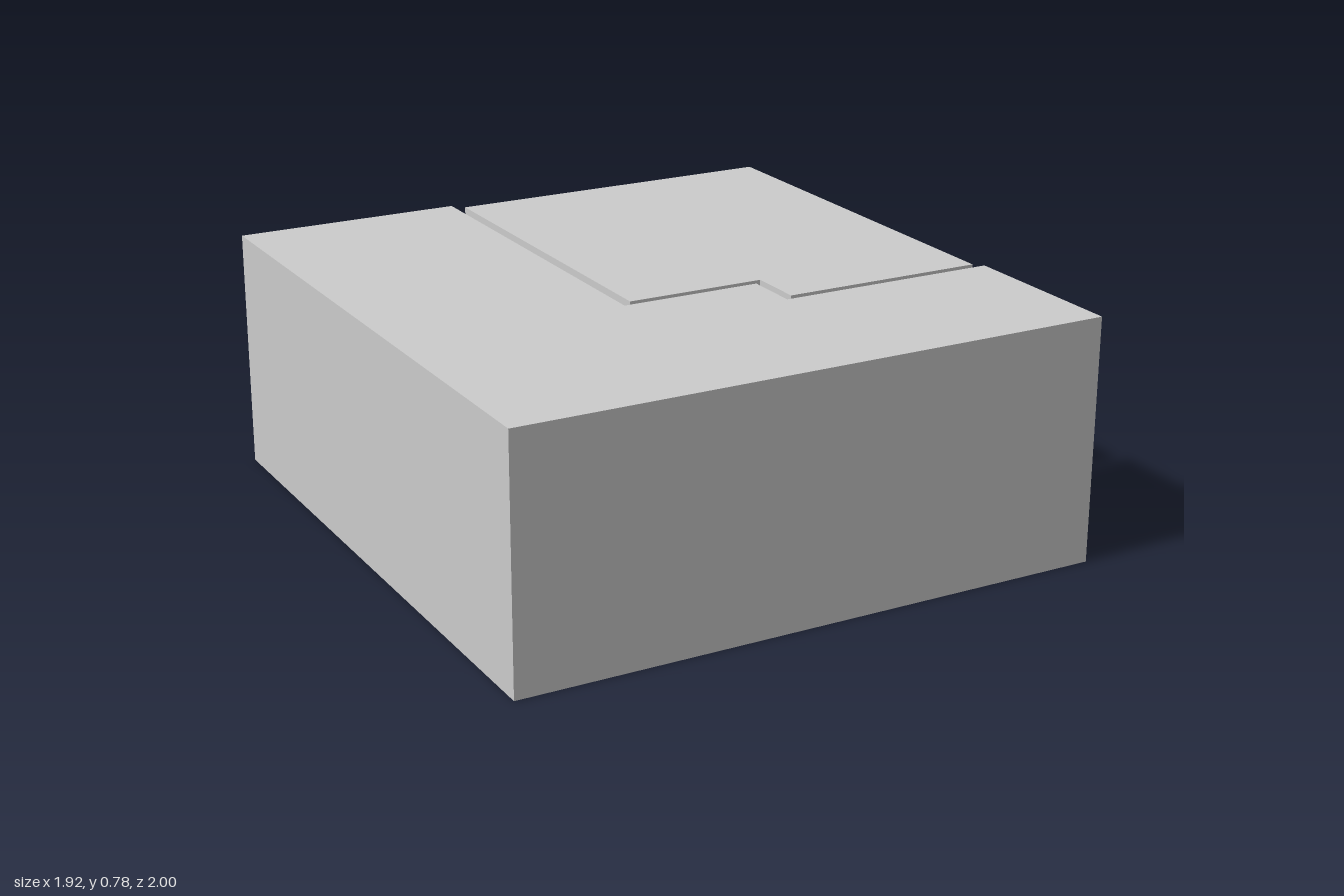
import * as THREE from 'three';

const material = new THREE.MeshStandardMaterial({ color: 0xcccccc, flatShading: true });

// Extrudes a plan outline of [x, z] points upward from y0 to y1.
function prism(name, plan, y0, y1) {
  const shape = new THREE.Shape(plan.map(([x, z]) => new THREE.Vector2(x, -z)));
  const geometry = new THREE.ExtrudeGeometry(shape, { depth: y1 - y0, bevelEnabled: false });
  geometry.rotateX(-Math.PI / 2).translate(0, y0, 0);
  const mesh = new THREE.Mesh(geometry, material);
  mesh.name = name;
  return mesh;
}

export function createModel() {
  const group = new THREE.Group();
  group.name = 'jointedBlocks';
  const height = 0.78;

  // L-shaped block with a stepped inner corner
  group.add(prism('outerBlock', [
    [-0.96, 1], [0.957, 1], [0.957, 0.42], [0.237, 0.42],
    [0.237, 0.241], [-0.217, 0.241], [-0.217, -1], [-0.96, -1],
  ], 0, height));

  // Block nested in the corner, separated by a narrow gap
  group.add(prism('innerBlock', [
    [0.267, 0.393], [0.931, 0.393], [0.931, -0.963],
    [-0.184, -0.963], [-0.184, 0.214], [0.267, 0.214],
  ], 0, height));

  // Angled filler recessed inside the gap
  group.add(prism('gapFiller', [
    [-0.217, 0.241], [0.206, 0.241], [0.206, 0.214],
    [-0.184, 0.214], [-0.184, -0.92], [-0.217, -0.92],
  ], 0.2, 0.58));

  // Short bridge joining the blocks near the open side
  group.add(prism('bridge', [
    [0.4, 0.42], [0.657, 0.42], [0.657, 0.393], [0.4, 0.393],
  ], 0, 0.58));

  return group;
}
